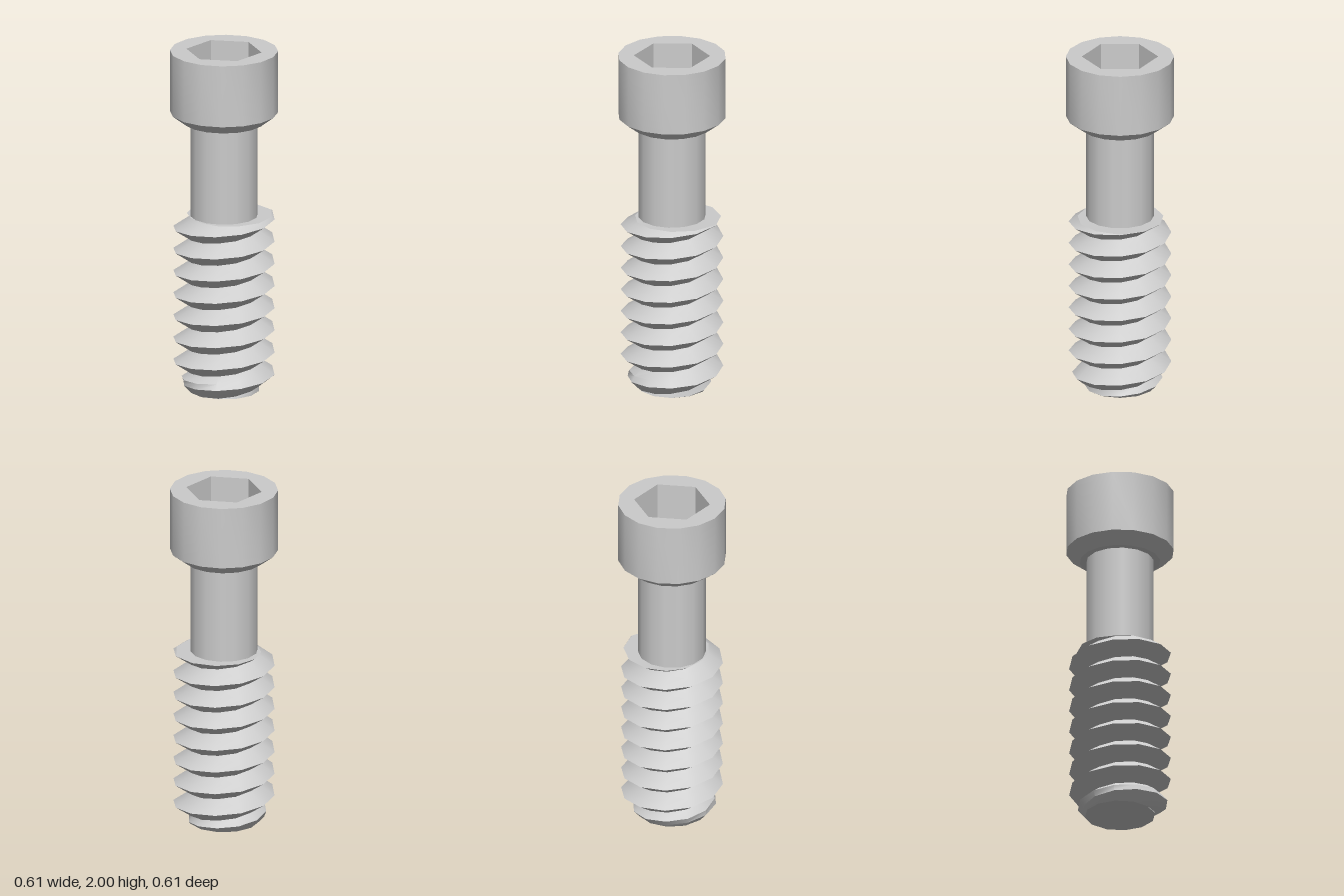
import * as THREE from 'three';
import { toCreasedNormals } from 'three/addons/utils/BufferGeometryUtils.js';

const TOP = 2, HEAD_R = 0.306, HEAD_SIDES = 16;
const THREAD_TOP = 1.03, PITCH = 0.131, ROOT_R = 0.195, CREST_R = 0.29;
const SOCKET_R = 0.216, SOCKET_DEPTH = 0.25;

function ring(radius, sides, offset = 0) {
  return Array.from({ length: sides }, (_, i) => {
    const a = offset + (i / sides) * Math.PI * 2;
    return new THREE.Vector2(radius * Math.cos(a), radius * Math.sin(a));
  });
}

// Radius of the V thread at an angle and height, trimmed by the tip chamfer
function threadRadius(a, y) {
  const t = (y - 0.897) / PITCH - a / (Math.PI * 2);
  const fromCrest = Math.abs(t - Math.round(t)) * 2;
  return Math.min(CREST_R + (ROOT_R - CREST_R) * fromCrest, 0.2 + 0.9 * y);
}

// Helical rows of vertices, cut flat at both ends and closed with caps
function threadGeometry() {
  const sides = 12, perTurn = 4, rows = [];
  const start = 0.897 - 9 * PITCH;
  const cap = (y) => Array.from({ length: sides + 1 }, () => new THREE.Vector3(0, y, 0));
  rows.push(cap(0));
  for (let k = 0; k <= 12 * perTurn; k++) {
    const row = [];
    for (let j = 0; j <= sides; j++) {
      const a = (j / sides) * Math.PI * 2;
      const helixY = start + PITCH * (k / perTurn + j / sides);
      const y = THREE.MathUtils.clamp(helixY, 0, THREAD_TOP);
      const r = threadRadius(a, y);
      row.push(new THREE.Vector3(r * Math.cos(a), y, -r * Math.sin(a)));
    }
    rows.push(row);
  }
  rows.push(cap(THREAD_TOP));

  const positions = [];
  const addTriangle = (...corners) => {
    if (new THREE.Triangle(...corners).getArea() < 1e-7) return;
    corners.forEach((p) => positions.push(p.x, p.y, p.z));
  };
  for (let k = 0; k < rows.length - 1; k++) {
    for (let j = 0; j < sides; j++) {
      const a = rows[k][j], b = rows[k][j + 1], c = rows[k + 1][j + 1], d = rows[k + 1][j];
      addTriangle(a, b, c);
      addTriangle(a, c, d);
    }
  }
  const geometry = new THREE.BufferGeometry();
  geometry.setAttribute('position', new THREE.Float32BufferAttribute(positions, 3));
  return toCreasedNormals(geometry, 0.6);
}

export function createModel() {
  const group = new THREE.Group();
  const smooth = new THREE.MeshStandardMaterial({ color: 0xcccccc });
  const inside = new THREE.MeshStandardMaterial({ color: 0xcccccc, flatShading: true, side: THREE.BackSide });
  const add = (name, geometry, material = smooth, y = 0) => {
    const mesh = new THREE.Mesh(geometry, material);
    mesh.name = name;
    mesh.position.y = y;
    group.add(mesh);
  };

  // Head: chamfered underside and round wall
  const headProfile = [[0.18, 1.58], [0.228, 1.58], [HEAD_R, 1.64], [HEAD_R, TOP]]
    .map(([r, y]) => new THREE.Vector2(r, y));
  add('head', toCreasedNormals(new THREE.LatheGeometry(headProfile, HEAD_SIDES), 0.6));

  // Top face with the hexagonal opening
  const face = new THREE.Shape(ring(HEAD_R, HEAD_SIDES));
  face.holes.push(new THREE.Path(ring(SOCKET_R, 6, Math.PI / 2)));
  add('headTop', new THREE.ShapeGeometry(face).rotateX(-Math.PI / 2), smooth, TOP);

  // Hex socket walls and floor
  add('socketWalls', new THREE.CylinderGeometry(SOCKET_R, SOCKET_R, SOCKET_DEPTH, 6, 1, true),
    inside, TOP - SOCKET_DEPTH / 2);
  const floor = new THREE.ShapeGeometry(new THREE.Shape(ring(SOCKET_R, 6, Math.PI / 2)));
  add('socketFloor', floor.rotateX(-Math.PI / 2), smooth, TOP - SOCKET_DEPTH);

  // Plain shank between head and thread
  add('shank', new THREE.CylinderGeometry(0.192, 0.192, 0.55, 14, 1, true), smooth, 1.305);

  // Threaded section with chamfered tip
  add('thread', threadGeometry());

  return group;
}
